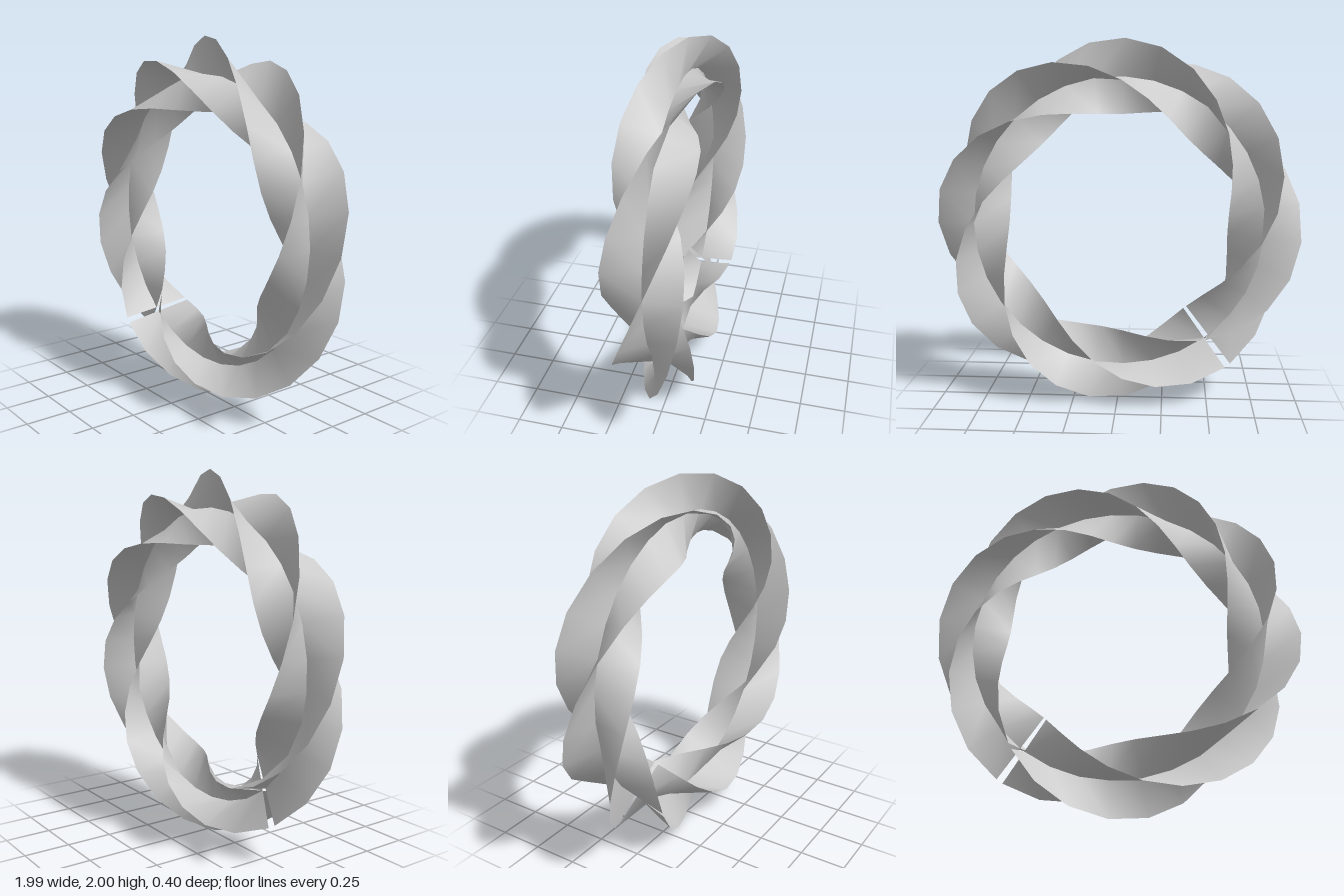
import * as THREE from 'three';

const RING = 0.8;       // radius of the centre line
const BLADE = 0.2;      // blade width from the centre line to its free edge
const STEPS = 31;       // segments round the ring
const TURNS = 2;        // full twists round the ring
const START = THREE.MathUtils.degToRad(230.9);  // one side of the small gap
const SWEEP = THREE.MathUtils.degToRad(358);

// Point at ring angle a, at distance d from the centre line along a blade
function bladePoint(a, offset, d) {
  const phi = offset + Math.PI / 2 + TURNS * (Math.PI / 2 - a);
  const r = RING + d * Math.cos(phi);
  return [r * Math.cos(a), 1 + r * Math.sin(a), d * Math.sin(phi)];
}

// One twisted strip running from the centre line to the free edge
function bladeGeometry(offset) {
  const positions = [], indices = [];
  for (let i = 0; i <= STEPS; i++) {
    const a = START - SWEEP * i / STEPS;
    positions.push(...bladePoint(a, offset, 0), ...bladePoint(a, offset, BLADE));
    if (i < STEPS) {
      const k = i * 2;
      indices.push(k, k + 1, k + 2, k + 1, k + 3, k + 2);
    }
  }
  const geometry = new THREE.BufferGeometry();
  geometry.setAttribute('position', new THREE.Float32BufferAttribute(positions, 3));
  geometry.setIndex(indices);
  geometry.computeVertexNormals();
  return geometry;
}

export function createModel() {
  const group = new THREE.Group();
  group.name = 'twistedRing';
  const material = new THREE.MeshStandardMaterial({ color: 0xcccccc, side: THREE.DoubleSide });
  // Four blades form a cross-shaped section
  for (let b = 0; b < 4; b++) {
    const blade = new THREE.Mesh(bladeGeometry(b * Math.PI / 2), material);
    blade.name = 'blade' + (b + 1);
    group.add(blade);
  }
  return group;
}
